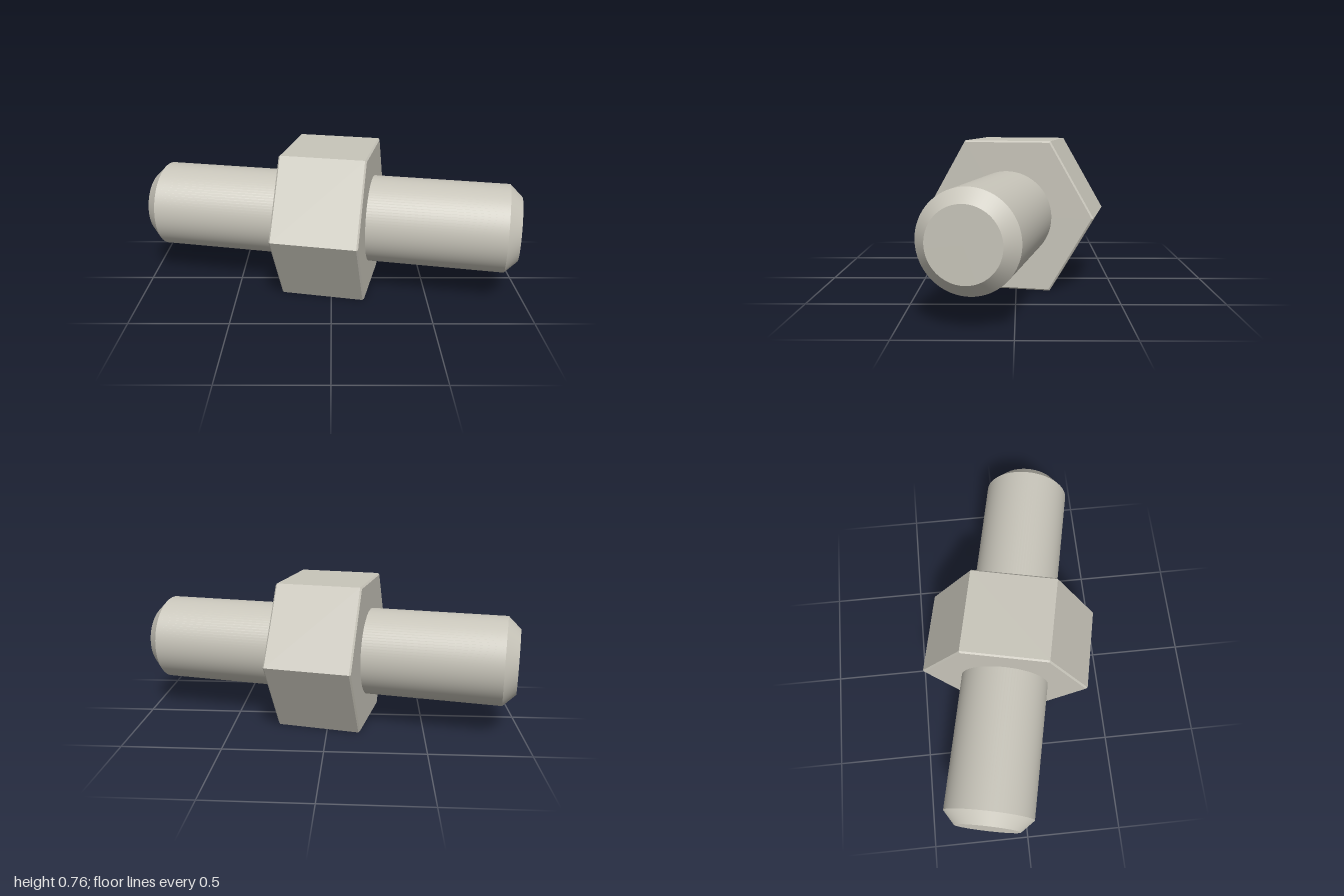
import * as THREE from 'three';
import { toCreasedNormals } from 'three/addons/utils/BufferGeometryUtils.js';

const HEX_RADIUS = 0.4388; // centre to corner
const HEX_HALF_WIDTH = 0.222;
const STUD_RADIUS = 0.228;
const STUD_HALF_LENGTH = 0.985;

// Solid turned about the x axis, with equal chamfers on both ends
function chamferedBar(name, radius, halfLength, chamferIn, chamferAlong, sides, material) {
  const end = radius - chamferIn;
  const shoulder = halfLength - chamferAlong;
  const profile = [
    [0, -halfLength], [end, -halfLength], [radius, -shoulder],
    [radius, shoulder], [end, halfLength], [0, halfLength],
  ].map(([r, s]) => new THREE.Vector2(r, s));
  const geometry = toCreasedNormals(new THREE.LatheGeometry(profile, sides), 0.5);
  geometry.rotateZ(-Math.PI / 2);
  const mesh = new THREE.Mesh(geometry, material);
  mesh.name = name;
  return mesh;
}

export function createModel() {
  const metal = new THREE.MeshStandardMaterial({ color: 0xc8c5ba });
  metal.name = 'warm grey metal';

  const model = new THREE.Group();
  model.name = 'hexFitting';

  // Round stud running through the hexagonal collar
  model.add(chamferedBar('roundStud', STUD_RADIUS, STUD_HALF_LENGTH, 0.062, 0.064, 96, metal));
  // Collar with corners to front and back, flats on top and bottom
  model.add(chamferedBar('hexCollar', HEX_RADIUS, HEX_HALF_WIDTH, 0.009, 0.008, 6, metal));

  // Turned slightly about the vertical, resting on a flat of the collar
  model.rotation.y = -THREE.MathUtils.degToRad(12);
  model.position.y = HEX_RADIUS * Math.cos(Math.PI / 6);
  return model;
}
